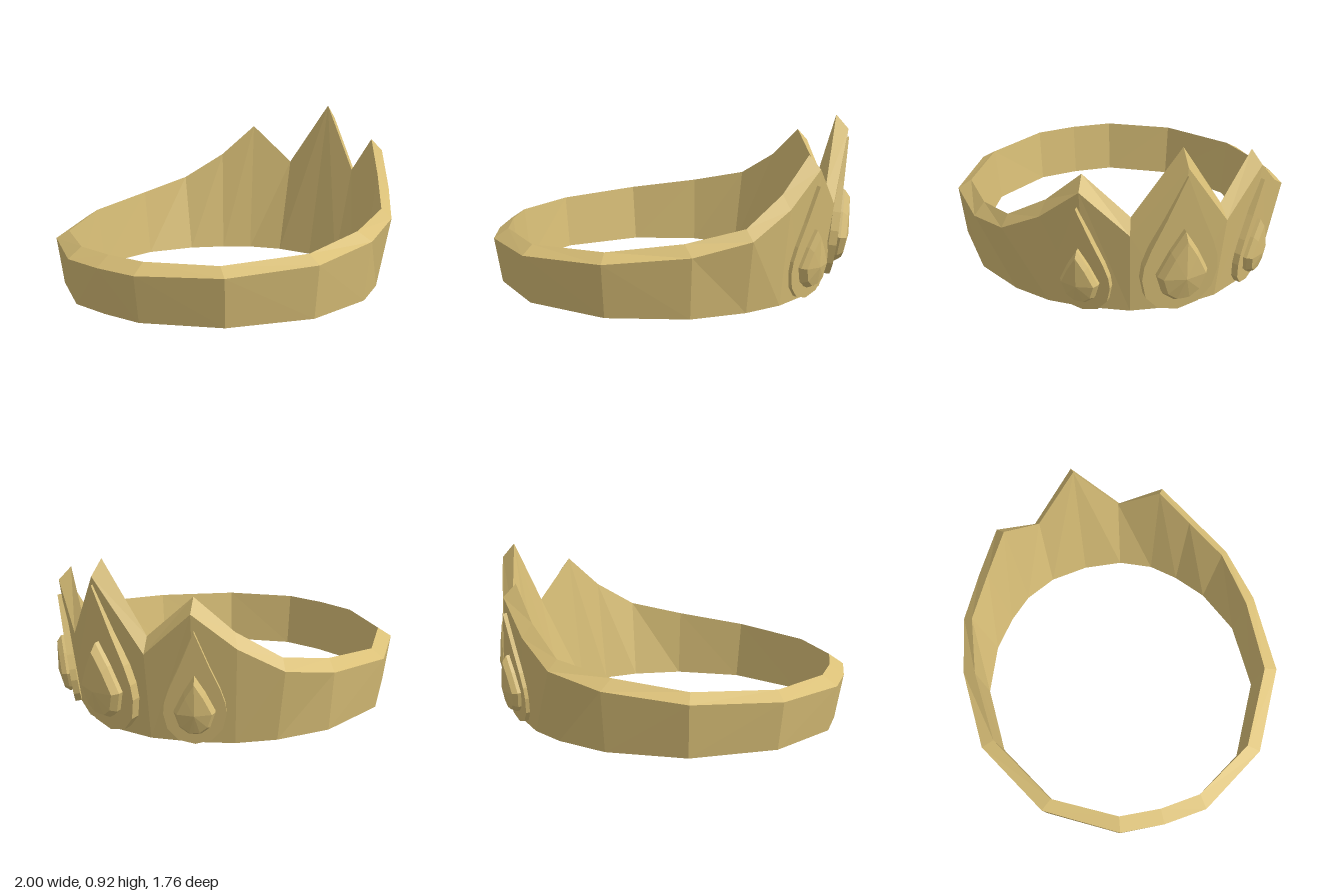
import * as THREE from 'three';
import { ConvexGeometry } from 'three/addons/geometries/ConvexGeometry.js';

const gold = new THREE.MeshStandardMaterial({ color: 0xd9bf77, flatShading: true, side: THREE.DoubleSide });

// Half of the band from the front peak (+x) to the back; each row holds x, z of
// outer bottom, then x, y, z of outer top and inner top, then x, z of inner bottom.
const FLOOR = 0.01;
const COLUMNS = [
  [0.86, 0, 0.98, 0.85, 0, 0.91, 0.93, 0, 0.74, 0],
  [0.82, 0.235, 0.885, 0.48, 0.26, 0.84, 0.56, 0.24, 0.715, 0.22],
  [0.71, 0.44, 0.79, 0.71, 0.49, 0.73, 0.78, 0.455, 0.635, 0.4],
  [0.585, 0.6, 0.63, 0.53, 0.65, 0.59, 0.6, 0.6, 0.52, 0.53],
  [0.41, 0.73, 0.44, 0.4, 0.8, 0.405, 0.455, 0.755, 0.36, 0.66],
  [0.13, 0.845, 0.14, 0.335, 0.88, 0.1, 0.39, 0.815, 0.1, 0.77],
  [-0.3, 0.845, -0.31, 0.295, 0.88, -0.3, 0.34, 0.805, -0.28, 0.77],
  [-0.715, 0.615, -0.745, 0.27, 0.64, -0.705, 0.315, 0.575, -0.68, 0.55],
  [-0.94, 0.24, -0.98, 0.26, 0.25, -0.9, 0.315, 0.235, -0.87, 0.23],
  [-0.955, 0, -1, 0.26, 0, -0.92, 0.315, 0, -0.89, 0],
];

function bandGeometry() {
  const sections = COLUMNS.map(c => [
    [c[0], FLOOR, c[1]], c.slice(2, 5), c.slice(5, 8), [c[8], FLOOR, c[9]],
  ]);
  const positions = [];
  const triangle = (a, b, c) => {
    positions.push(...a, ...b, ...c);
    // mirrored twin with reversed winding
    for (const [x, y, z] of [a, c, b]) positions.push(x, y, -z);
  };
  for (let i = 0; i < sections.length - 1; i++) {
    for (let k = 0; k < 4; k++) {
      const n = (k + 1) % 4;
      const a = sections[i][k], b = sections[i][n];
      const c = sections[i + 1][n], d = sections[i + 1][k];
      triangle(a, b, c);
      triangle(a, c, d);
    }
  }
  const geometry = new THREE.BufferGeometry();
  geometry.setAttribute('position', new THREE.Float32BufferAttribute(positions, 3));
  geometry.computeVertexNormals();
  return geometry;
}

// Closes a right-hand half outline (top to bottom) by mirroring it
function mirrorOutline(half) {
  const left = half.slice(1, -1).reverse().map(([x, y]) => [-x, y]);
  return [...half, ...left].map(([x, y]) => new THREE.Vector2(x, y));
}

// Flat teardrop plate, front face at z = 0
function plateGeometry() {
  const outline = mirrorOutline([
    [0, 0.8], [0.095, 0.56], [0.165, 0.4], [0.198, 0.3], [0.205, 0.22],
    [0.18, 0.11], [0.11, 0.03], [0, 0],
  ]);
  const geometry = new THREE.ExtrudeGeometry(new THREE.Shape(outline), { depth: 0.045, bevelEnabled: false });
  return geometry.translate(0, 0, -0.045);
}

// Faceted teardrop stone: base outline, slightly smaller girdle, shallow point
function gemGeometry() {
  const outline = mirrorOutline([[0, 0.5], [0.07, 0.385], [0.135, 0.25], [0.1, 0.14], [0.04, 0.092], [0, 0.09]]);
  const centre = 0.25;
  const ring = (scale, z) => outline.map(p =>
    new THREE.Vector3(p.x * scale, centre + (p.y - centre) * scale, z));
  return new ConvexGeometry([...ring(1, -0.01), ...ring(1, 0.025), ...ring(0.84, 0.06), new THREE.Vector3(0, centre, 0.085)]);
}

export function createModel() {
  const crown = new THREE.Group();
  crown.name = 'crown';

  const addMesh = (parent, geometry, name) => {
    const mesh = new THREE.Mesh(geometry, gold);
    mesh.name = name;
    parent.add(mesh);
  };

  addMesh(crown, bandGeometry(), 'band');

  // One jewelled plate under each peak, leaning outward with the wall
  const plate = plateGeometry(), gem = gemGeometry();
  const settings = [
    ['frontOrnament', 0.885, 0, Math.PI / 2, 1],
    ['leftOrnament', 0.73, 0.46, 0.87, 0.77],
    ['rightOrnament', 0.73, -0.46, Math.PI - 0.87, 0.77],
  ];
  for (const [name, x, z, turn, scale] of settings) {
    const ornament = new THREE.Group();
    ornament.name = name;
    addMesh(ornament, plate, 'teardropPlate');
    addMesh(ornament, gem, 'gem');
    ornament.position.set(x, 0.012, z);
    ornament.rotation.set(0.125, turn, 0, 'YXZ');
    ornament.scale.setScalar(scale);
    crown.add(ornament);
  }
  return crown;
}
